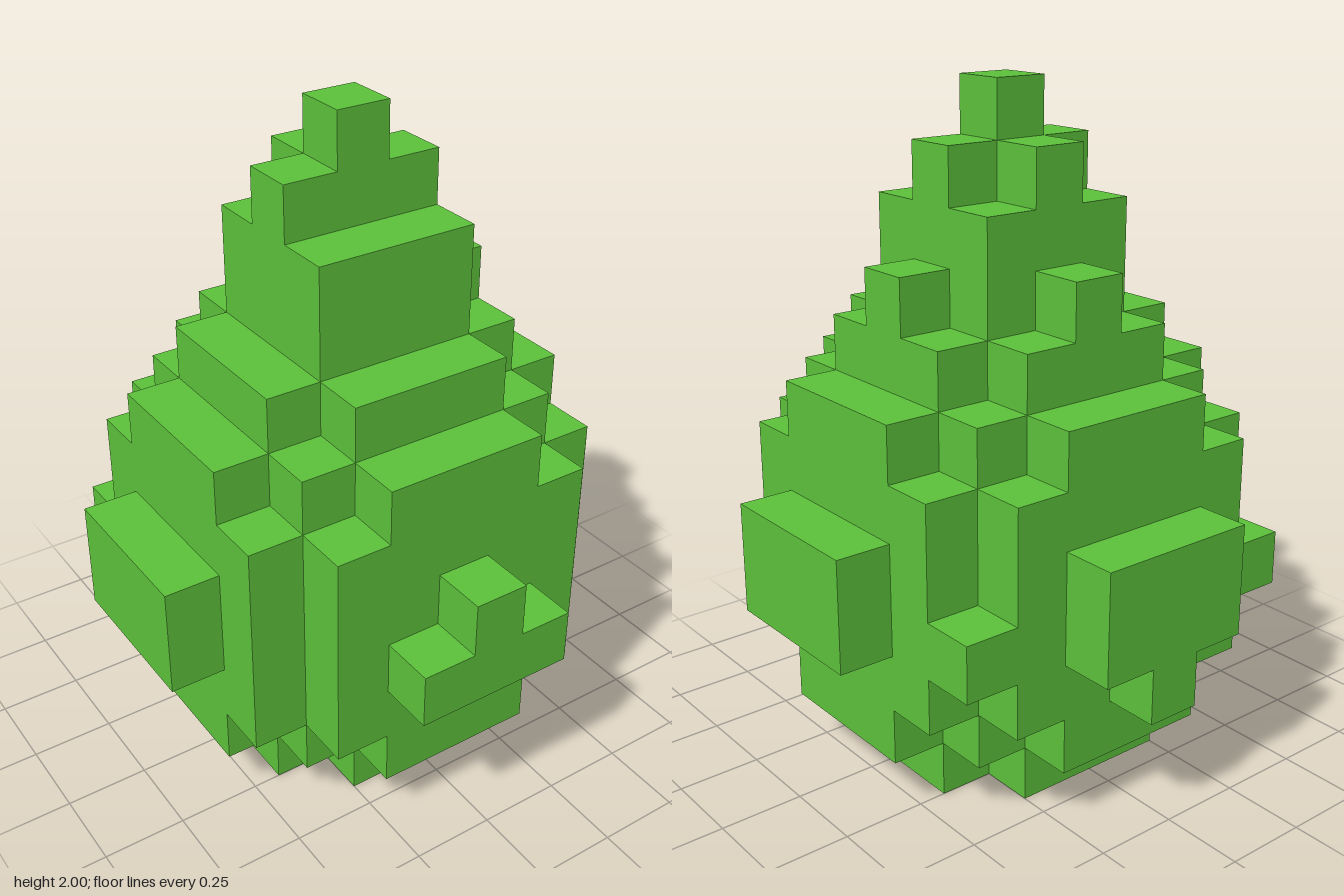
import * as THREE from 'three';
import { mergeGeometries } from 'three/addons/utils/BufferGeometryUtils.js';

const U = 1 / 6; // edge of one block

// Each part is a list of block ranges [x0, x1, y0, y1, z0, z1], ends included
const plus = (a, b, y0, y1) => [[-a, a, y0, y1, -b, b], [-b, b, y0, y1, -a, a]];
const PARTS = {
  base: plus(2, 1, 0, 0),
  lowerBody: [...plus(3, 1, 1, 1), [-2, 2, 1, 1, -2, 2]],
  middleBody: plus(3, 2, 2, 5),
  upperBody: [...plus(3, 1, 6, 6), [-2, 2, 6, 6, -2, 2]],
  shoulder: plus(2, 1, 7, 7),
  neck: [[-1, 1, 8, 9, -1, 1]],
  neckKnobs: [[2, 2, 8, 8, 0, 0], [0, 0, 8, 8, -2, -2]],
  crown: [[-1, 1, 10, 10, 0, 0], [0, 0, 10, 10, -1, -1]],
  tip: [[0, 0, 11, 11, 0, 0]],
  frontBump: [[-1, 1, 3, 3, 4, 4], [0, 0, 4, 4, 4, 4]],
  backBump: [[-1, 1, 3, 4, -4, -4], [0, 0, 2, 2, -4, -4]],
  leftBump: [[4, 4, 3, 4, -1, 1]],
  rightBump: [[-4, -4, 3, 4, -1, 1]],
  backCorners: [[3, 3, 3, 3, -3, -3], [-3, -3, 3, 3, -3, -3]],
};

// Outward directions, with the turn that points a plane that way
const SIDES = [
  [1, 0, 0, 0, Math.PI / 2], [-1, 0, 0, 0, -Math.PI / 2],
  [0, 1, 0, -Math.PI / 2, 0], [0, -1, 0, Math.PI / 2, 0],
  [0, 0, 1, 0, 0], [0, 0, -1, 0, Math.PI],
];

const key = (x, y, z) => `${x},${y},${z}`;

function fill(ranges) {
  const cells = new Map();
  for (const [x0, x1, y0, y1, z0, z1] of ranges)
    for (let x = x0; x <= x1; x++)
      for (let y = y0; y <= y1; y++)
        for (let z = z0; z <= z1; z++) cells.set(key(x, y, z), [x, y, z]);
  return cells;
}

export function createModel() {
  const group = new THREE.Group();
  group.name = 'blockDrop';
  const green = new THREE.MeshStandardMaterial({ color: 0x5bbf3a });
  green.name = 'leafGreen';
  const solid = fill(Object.values(PARTS).flat());

  for (const [name, ranges] of Object.entries(PARTS)) {
    // Only the faces open to the air are built
    const faces = [];
    for (const [x, y, z] of fill(ranges).values())
      for (const [dx, dy, dz, rx, ry] of SIDES) {
        if (solid.has(key(x + dx, y + dy, z + dz))) continue;
        const face = new THREE.PlaneGeometry(U, U).rotateX(rx).rotateY(ry);
        face.translate((x + dx / 2) * U, (y + 0.5 + dy / 2) * U, (z + dz / 2) * U);
        faces.push(face);
      }
    const mesh = new THREE.Mesh(mergeGeometries(faces), green);
    mesh.name = name;
    group.add(mesh);
  }
  return group;
}
